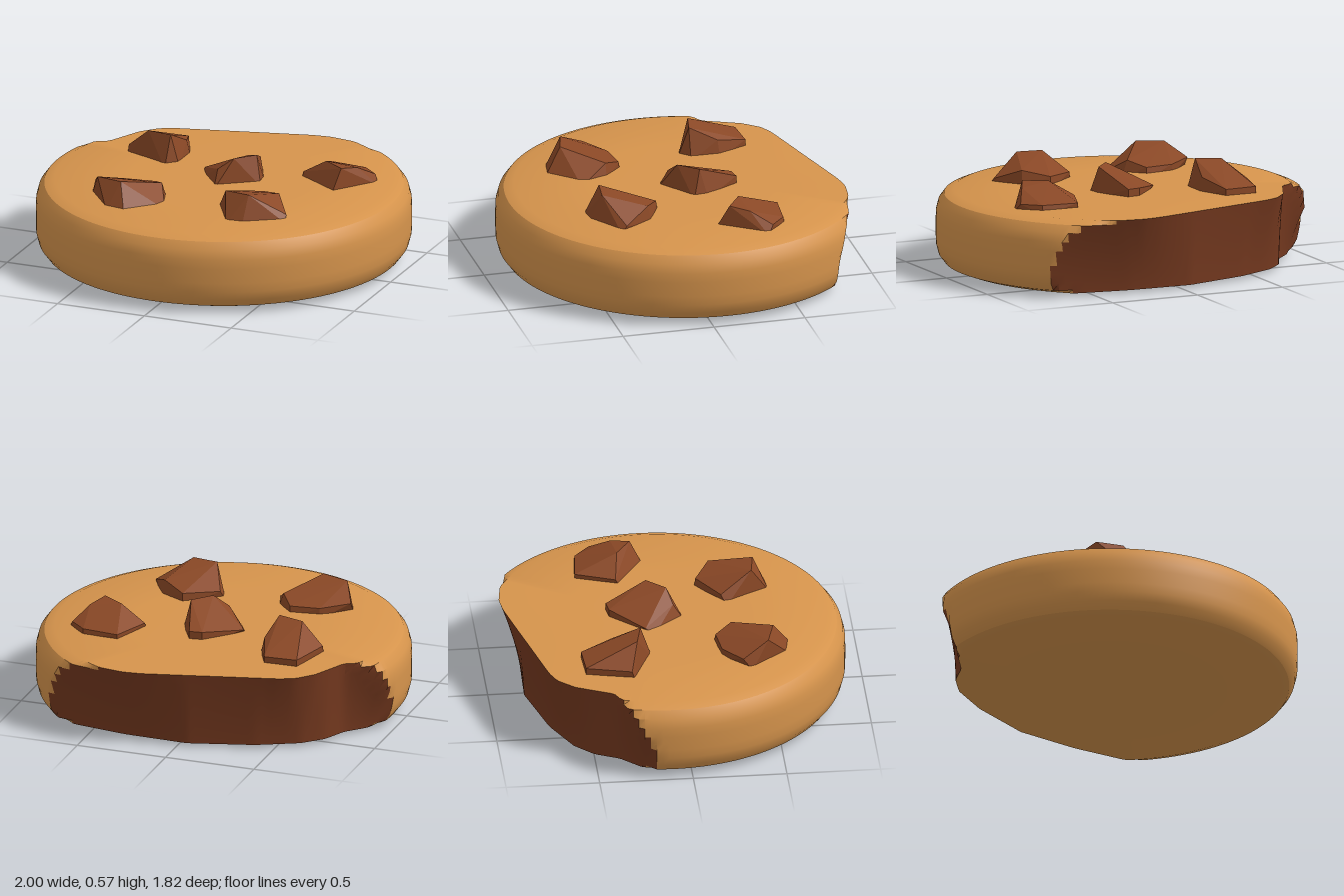
import * as THREE from 'three';
import { toCreasedNormals } from 'three/addons/utils/BufferGeometryUtils.js';
import { ConvexGeometry } from 'three/addons/geometries/ConvexGeometry.js';

const CZ = -0.095; // centre of the round outline in z
const SEG = 192;

// rounded disc profile: [radius, height], from the bottom centre to the top centre
const PROFILE = [
  [0, 0.003], [0.5, 0.006], [0.9, 0.02], [0.955, 0.04], [0.985, 0.08], [0.998, 0.13], [1, 0.18], [1, 0.22], [1, 0.26],
  [0.998, 0.31], [0.985, 0.36], [0.955, 0.4], [0.9, 0.422], [0.5, 0.429], [0, 0.43],
];

// bitten edge as [x, z] at the top and at the bottom of the disc
const BITE_TOP = [[0.95, -0.78], [0.57, -0.865], [0.4, -0.9], [0.27, -0.918], [0.17, -0.905], [-0.2, -0.81], [-0.54, -0.725],
  [-0.62, -0.69], [-0.7, -0.6], [-0.79, -0.4], [-0.93, -0.34], [-1.05, -0.29]];
const BITE_BOTTOM = [[1.0, -0.7], [0.72, -0.74], [0.3, -0.8], [-0.05, -0.81], [-0.4, -0.71], [-0.62, -0.6], [-0.72, -0.5],
  [-0.78, -0.37], [-0.93, -0.21], [-1.05, -0.14]];

// distance from the centre to a bite line along a direction
function biteDistance(line, dx, dz) {
  for (let i = 0; i < line.length - 1; i++) {
    const ax = line[i][0], az = line[i][1] - CZ;
    const ex = line[i + 1][0] - ax, ez = line[i + 1][1] - CZ - az;
    const det = dx * ez - dz * ex;
    if (Math.abs(det) < 1e-9) continue;
    const t = (ax * ez - az * ex) / det;
    const u = (ax * dz - az * dx) / det;
    if (t > 0 && u >= 0 && u <= 1) return t;
  }
  return 9;
}

// disc swept around y, cut back wherever the bite is deeper than the rim
function buildBody() {
  const crust = [], bite = [], columns = [];
  for (let i = 0; i < SEG; i++) {
    const a = (i / SEG) * Math.PI * 2;
    const dx = Math.sin(a), dz = Math.cos(a);
    const top = biteDistance(BITE_TOP, dx, dz), bottom = biteDistance(BITE_BOTTOM, dx, dz);
    columns.push(PROFILE.map(([r, y]) => {
      const b = THREE.MathUtils.lerp(Math.min(bottom, 1.1), Math.min(top, 1.1), Math.pow(y / 0.43, 1.5));
      const d = Math.min(r, b);
      return { p: [dx * d, y, CZ + dz * d], cut: b < r };
    }));
  }
  const add = (list, a, b, c) => list.push(...a.p, ...b.p, ...c.p);
  for (let i = 0; i < SEG; i++) {
    const left = columns[i], right = columns[(i + 1) % SEG];
    for (let j = 0; j < PROFILE.length - 1; j++) {
      const q = [left[j], right[j], right[j + 1], left[j + 1]];
      // only the steep levels of the bite show the inside
      const list = j > 1 && j < 12 && q.filter((v) => v.cut).length > 2 ? bite : crust;
      if (j > 0) add(list, q[0], q[1], q[2]);
      if (j < PROFILE.length - 2) add(list, q[0], q[2], q[3]);
      else if (j === PROFILE.length - 2) add(list, q[0], q[1], q[2]);
      if (j === 0) add(list, q[0], q[2], q[3]);
    }
  }
  return [crust, bite].map((list) => {
    const g = new THREE.BufferGeometry();
    g.setAttribute('position', new THREE.Float32BufferAttribute(list, 3));
    return toCreasedNormals(g, 0.5);
  });
}

// chunk corners [x, y, z]
const CHUNKS = {
  chunkBackRight: [
    [-0.5, 0.57, -0.25], [-0.36, 0.575, -0.22], [-0.57, 0.46, -0.53], [-0.39, 0.46, -0.54], [-0.33, 0.5, -0.37],
    [-0.63, 0.46, -0.29], [-0.63, 0.4, -0.27], [-0.37, 0.4, -0.16], [-0.31, 0.4, -0.22], [-0.31, 0.4, -0.38],
    [-0.57, 0.4, -0.53], [-0.39, 0.4, -0.54]],
  chunkBackLeft: [
    [0.52, 0.535, -0.26], [0.64, 0.535, -0.18], [0.69, 0.515, -0.28], [0.46, 0.45, -0.49], [0.66, 0.45, -0.47],
    [0.75, 0.45, -0.39], [0.38, 0.45, -0.28], [0.78, 0.4, -0.36], [0.61, 0.4, -0.11], [0.38, 0.4, -0.25],
    [0.46, 0.4, -0.49], [0.66, 0.4, -0.48]],
  chunkMiddle: [
    [0.08, 0.56, -0.04], [0.17, 0.56, -0.14], [0.03, 0.47, -0.35], [0.1, 0.47, -0.36], [-0.14, 0.44, -0.17],
    [0.0, 0.5, -0.01], [-0.14, 0.4, -0.12], [0.0, 0.4, 0.05], [0.21, 0.4, -0.1], [0.2, 0.4, -0.18],
    [0.03, 0.4, -0.35], [0.1, 0.4, -0.36]],
  chunkFrontRight: [
    [-0.5, 0.54, 0.45], [-0.35, 0.545, 0.49], [-0.2, 0.49, 0.28], [-0.57, 0.47, 0.31], [-0.43, 0.46, 0.21],
    [-0.27, 0.46, 0.19], [-0.57, 0.4, 0.36], [-0.12, 0.4, 0.43], [-0.29, 0.4, 0.59], [-0.4, 0.4, 0.57],
    [-0.17, 0.4, 0.28], [-0.27, 0.4, 0.18], [-0.43, 0.4, 0.21]],
  chunkFrontLeft: [
    [0.23, 0.555, 0.43], [0.37, 0.555, 0.45], [0.45, 0.5, 0.22], [0.32, 0.47, 0.14], [0.15, 0.46, 0.26],
    [0.13, 0.4, 0.29], [0.27, 0.4, 0.53], [0.36, 0.4, 0.52], [0.56, 0.4, 0.39], [0.55, 0.44, 0.36],
    [0.46, 0.4, 0.2], [0.32, 0.4, 0.13]],
};

export function createModel() {
  const material = (name, color) => Object.assign(new THREE.MeshStandardMaterial({ color }), { name });
  const dough = material('golden dough', 0xd6944c);
  const inside = material('dark inside', 0x75391f);
  const chocolate = material('chocolate', 0x8a4826);

  const model = new THREE.Group();
  model.name = 'bittenCookie';
  const part = (name, geometry, mat) => {
    const mesh = new THREE.Mesh(geometry, mat);
    mesh.name = name;
    model.add(mesh);
  };

  const [crust, bite] = buildBody();
  part('cookieBody', crust, dough);
  part('biteWall', bite, inside);

  for (const [name, corners] of Object.entries(CHUNKS)) {
    part(name, new ConvexGeometry(corners.map((c) => new THREE.Vector3(...c))), chocolate);
  }
  return model;
}
